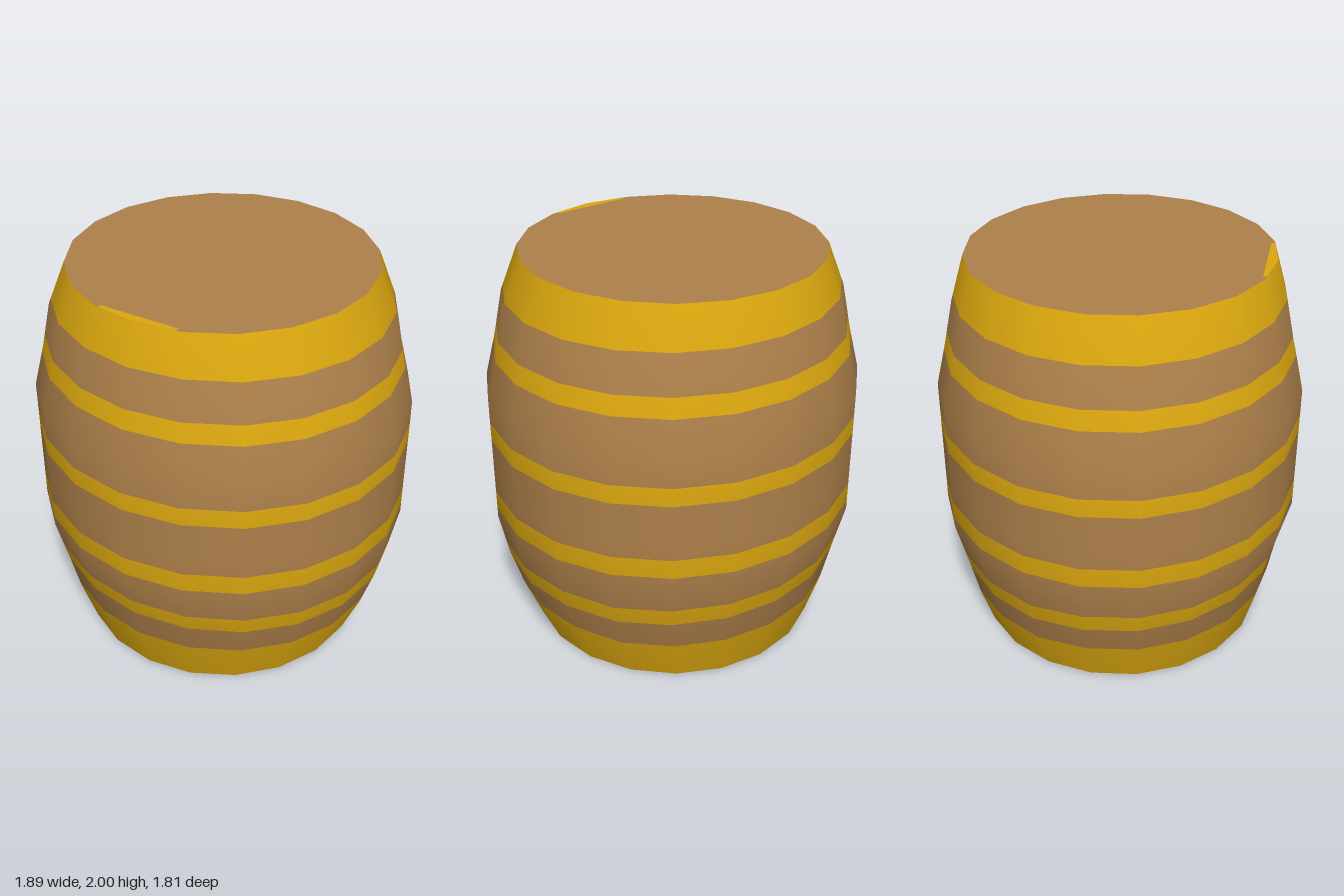
import * as THREE from 'three';

const SIDES = 20;

// Barrel profile: height, half width in x, half depth in z
const PROFILE = [
  [0, 0.74, 0.74], [0.22, 0.83, 0.8], [0.444, 0.9, 0.842], [0.667, 0.943, 0.903],
  [0.889, 0.943, 0.903], [1.111, 0.943, 0.903],
  [1.333, 0.943, 0.903], [1.556, 0.885, 0.85], [1.778, 0.84, 0.803], [2, 0.74, 0.74],
];

// Slope of the profile at a point, averaged over its neighbours
const slopeAt = (i) => {
  const a = PROFILE[Math.max(i - 1, 0)], b = PROFILE[Math.min(i + 1, PROFILE.length - 1)];
  return (b[1] + b[2] - a[1] - a[2]) / 2 / (b[0] - a[0]);
};

function sample(y) {
  let i = 0;
  while (i < PROFILE.length - 2 && y > PROFILE[i + 1][0]) i++;
  const a = PROFILE[i], b = PROFILE[i + 1], t = (y - a[0]) / (b[0] - a[0]);
  const mix = THREE.MathUtils.lerp;
  return { rx: mix(a[1], b[1], t), rz: mix(a[2], b[2], t), slope: mix(slopeAt(i), slopeAt(i + 1), t) };
}

// The lower hoops sit slightly lower around the back
function shifted(y, side) {
  if (y === 0 || y > 0.6 || PROFILE.some((p) => p[0] === y)) return y;
  return side >= 1.5 && side <= 9 ? y - 0.015 : y;
}

// A ring of the barrel wall between two heights
function wallRing(y0, y1) {
  const rows = [y0, ...PROFILE.map((p) => p[0]).filter((y) => y > y0 && y < y1), y1];
  const position = [], normal = [], index = [];
  rows.forEach((row, r) => {
    for (let s = 0; s <= SIDES; s++) {
      const angle = (s / SIDES) * Math.PI * 2;
      const y = shifted(row, s % SIDES);
      const { rx, rz, slope } = sample(y);
      position.push(Math.cos(angle) * rx, y, -Math.sin(angle) * rz);
      const n = new THREE.Vector3(Math.cos(angle) * rz / rx, -slope, -Math.sin(angle)).normalize();
      normal.push(n.x, n.y, n.z);
      if (r && s < SIDES) {
        const b = (r - 1) * (SIDES + 1) + s, t = b + SIDES + 1;
        index.push(b, b + 1, t + 1, b, t + 1, t);
      }
    }
  });
  const geometry = new THREE.BufferGeometry();
  geometry.setAttribute('position', new THREE.Float32BufferAttribute(position, 3));
  geometry.setAttribute('normal', new THREE.Float32BufferAttribute(normal, 3));
  geometry.setIndex(index);
  return geometry;
}

export function createModel() {
  const wood = new THREE.MeshStandardMaterial({ color: 0xad804a });
  wood.name = 'wood';
  const gold = new THREE.MeshStandardMaterial({ color: 0xdca80f });
  gold.name = 'gold';

  const barrel = new THREE.Group();
  barrel.name = 'barrel';
  const add = (name, geometry, material) => {
    const mesh = new THREE.Mesh(geometry, material);
    mesh.name = name;
    barrel.add(mesh);
    return mesh;
  };

  // Alternating gold hoops and wooden staves, from the bottom up
  const edges = [0, 0.25, 0.41, 0.51, 0.715, 0.815, 1.105, 1.2, 1.52, 1.615, 1.805, 2];
  for (let i = 0; i < edges.length - 1; i++) {
    const isHoop = i % 2 === 0;
    add((isHoop ? 'hoop' : 'staves') + (Math.floor(i / 2) + 1),
      wallRing(edges[i], edges[i + 1]), isHoop ? gold : wood);
  }

  // Flat ends
  const end = new THREE.CircleGeometry(0.74, SIDES);
  const lid = add('lid', end, wood);
  lid.rotation.x = -Math.PI / 2;
  lid.position.y = 2;
  const base = add('base', end, wood);
  base.rotation.x = Math.PI / 2;

  // Gold sliver on the front rim of the lid
  const sliver = new THREE.Shape([
    [-0.2, -0.69], [-0.2, -0.708], [0, -0.74], [0.2, -0.708], [0.2, -0.69],
  ].map(([x, y]) => new THREE.Vector2(x, y)));
  const rimMark = add('rimMark', new THREE.ShapeGeometry(sliver), gold);
  rimMark.rotation.x = -Math.PI / 2;
  rimMark.position.y = 2.001;

  return barrel;
}
